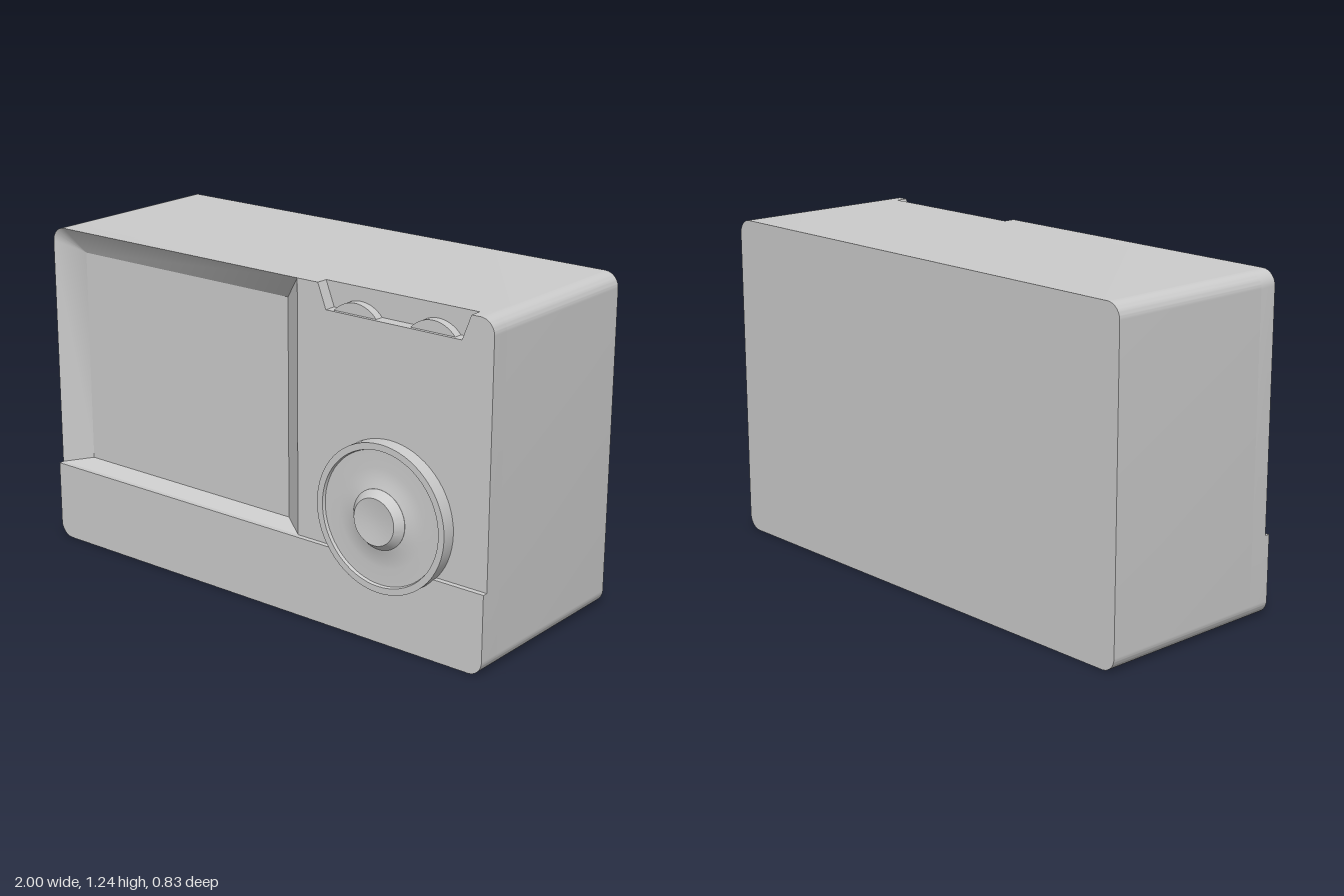
import * as THREE from 'three';
import { toCreasedNormals } from 'three/addons/utils/BufferGeometryUtils.js';

const BACK = -0.415, RECESS = 0.265, NOTCH = 0.29, FRONT = 0.335, LIP = 0.355;
const TOP = 1.24, SPLIT = 0.3, R = 0.055, MID = 0.19;

export function createModel() {
  const group = new THREE.Group();
  const material = new THREE.MeshStandardMaterial({ color: 0xcccccc });

  const add = (name, geometry) => {
    const mesh = new THREE.Mesh(toCreasedNormals(geometry, 0.5), material);
    mesh.name = name;
    group.add(mesh);
    return mesh;
  };

  const slab = (name, shape, z0, z1) => {
    const g = new THREE.ExtrudeGeometry(shape, { depth: z1 - z0, bevelEnabled: false, curveSegments: 10 });
    return add(name, g.translate(0, 0, z0));
  };

  // Rectangle with separately rounded bottom and top corners
  const panel = (x0, y0, x1, y1, rb, rt) => {
    const s = new THREE.Shape();
    s.moveTo(x0 + rb, y0).lineTo(x1 - rb, y0);
    if (rb) s.absarc(x1 - rb, y0 + rb, rb, -Math.PI / 2, 0);
    s.lineTo(x1, y1 - rt);
    if (rt) s.absarc(x1 - rt, y1 - rt, rt, 0, Math.PI / 2);
    s.lineTo(x0 + rt, y1);
    if (rt) s.absarc(x0 + rt, y1 - rt, rt, Math.PI / 2, Math.PI);
    s.lineTo(x0, y0 + rb);
    if (rb) s.absarc(x0 + rb, y0 + rb, rb, Math.PI, Math.PI * 1.5);
    return s;
  };

  // Main case; its front cap is also the sunken screen
  slab('body', panel(-1, 0, 1, TOP, R, R), BACK, RECESS);
  slab('lowerPanel', panel(-1, 0, 1, SPLIT, R, 0), RECESS, LIP);

  // Right front panel with a tapered notch in its top edge
  const right = new THREE.Shape();
  right.moveTo(MID, SPLIT).lineTo(1, SPLIT).lineTo(1, TOP - R);
  right.absarc(1 - R, TOP - R, R, 0, Math.PI / 2);
  right.lineTo(0.91, TOP).lineTo(0.875, 1.15).lineTo(0.315, 1.15).lineTo(0.28, TOP).lineTo(MID, TOP);
  slab('controlPanel', right, RECESS, FRONT);

  const floor = new THREE.Shape();
  floor.moveTo(0.315, 1.15).lineTo(0.875, 1.15).lineTo(0.91, TOP).lineTo(0.28, TOP);
  slab('notchFloor', floor, RECESS, NOTCH);

  // Two thumb wheels peeking out of the notch
  for (const [x, name] of [[0.43, 'rightThumbWheel'], [0.75, 'leftThumbWheel']]) {
    const h = Math.asin(0.08 / 0.12);
    const wheel = new THREE.Shape();
    wheel.absarc(x, 1.07, 0.12, h, Math.PI - h);
    slab(name, wheel, NOTCH, 0.322);
  }

  // Sloping screen frame: outer loop paired with the inner corners
  const pairs = [
    [-1, SPLIT, -0.9, 0.32],
    [MID, SPLIT, 0.09, 0.32],
    [MID, TOP, 0.09, 1.14],
  ];
  for (let i = 0; i <= 8; i++) {
    const a = Math.PI / 2 * (1 + i / 8);
    pairs.push([-1 + R + R * Math.cos(a), TOP - R + R * Math.sin(a), -0.9, 1.14]);
  }
  const pos = [];
  pairs.forEach((p, i) => {
    const q = pairs[(i + 1) % pairs.length];
    const a = [p[0], p[1], FRONT], b = [q[0], q[1], FRONT];
    const c = [p[2], p[3], RECESS], d = [q[2], q[3], RECESS];
    const e = [p[0], p[1], RECESS], f = [q[0], q[1], RECESS];
    pos.push(...a, ...b, ...d);
    if (p[2] !== q[2] || p[3] !== q[3]) pos.push(...a, ...d, ...c);
    // Outside wall, only where the frame meets the case edge
    if (i > 1) pos.push(...a, ...e, ...f, ...a, ...f, ...b);
  });
  const frame = new THREE.BufferGeometry();
  frame.setAttribute('position', new THREE.Float32BufferAttribute(pos, 3));
  frame.computeVertexNormals();
  add('screenFrame', frame);

  // Round dial with raised rim, dished face and central knob
  const lathe = (profile) => new THREE.LatheGeometry(profile.map(([r, z]) => new THREE.Vector2(r, z)), 64)
    .rotateX(Math.PI / 2).translate(0.59, 0.475, 0);
  add('dial', lathe([
    [0.27, 0.32], [0.27, 0.388], [0.246, 0.388], [0.243, 0.376],
    [0.18, 0.376], [0.14, 0.379], [0.118, 0.386], [0.1, 0.39],
  ]));
  add('dialKnob', lathe([
    [0.109, 0.38], [0.109, 0.389], [0.085, 0.418], [0.055, 0.414], [0.025, 0.412], [0, 0.411],
  ]));

  return group;
}
